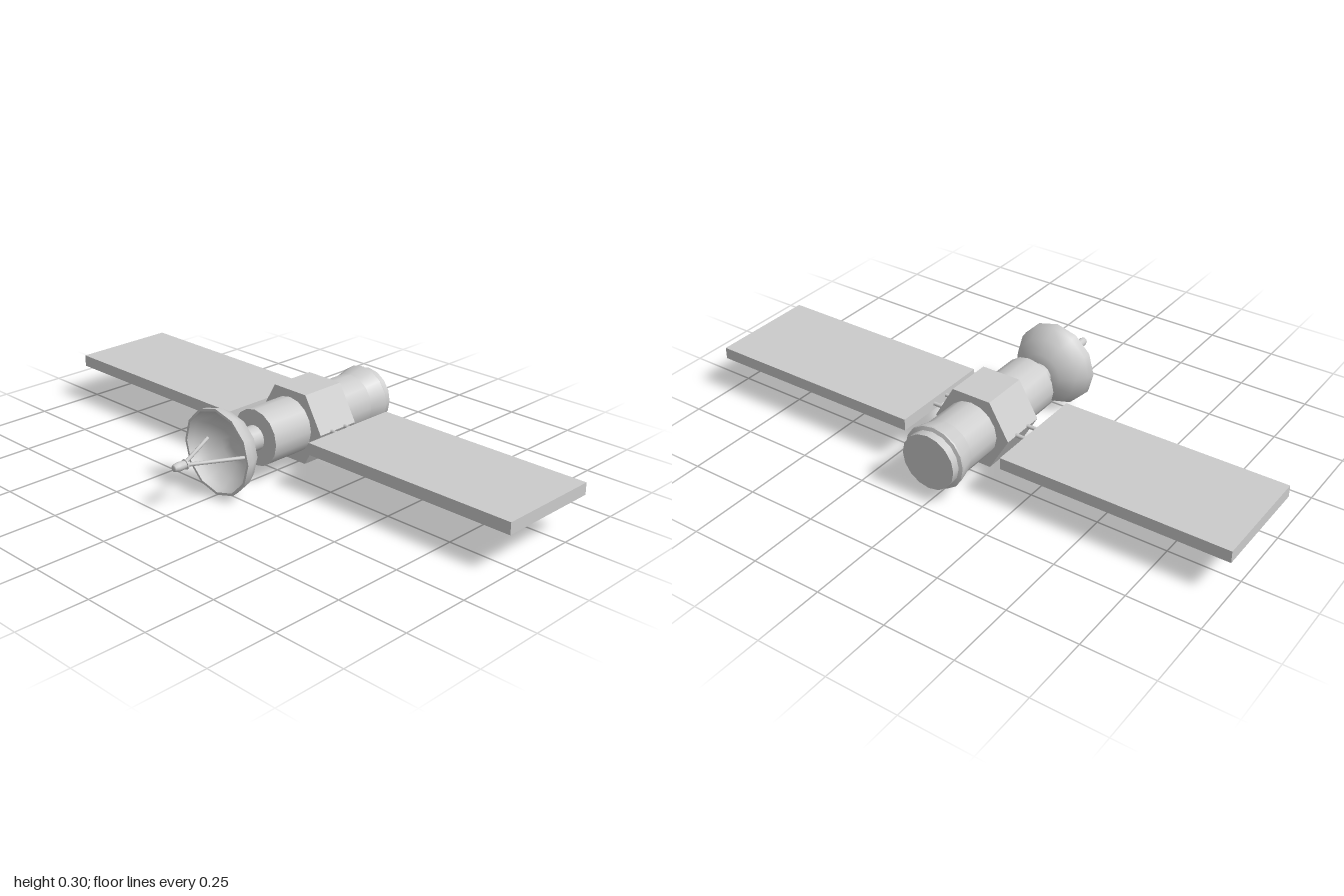
import * as THREE from 'three';

const AXIS_Y = 0.155; // height of the main axis, which runs along z

export function createModel() {
  const root = new THREE.Group();
  const smooth = new THREE.MeshStandardMaterial({ color: 0xcccccc });
  const flat = new THREE.MeshStandardMaterial({ color: 0xcccccc, flatShading: true });
  const assembly = new THREE.Group();
  assembly.name = 'satellite';
  assembly.position.y = AXIS_Y;
  root.add(assembly);

  const add = (name, geometry, material) => {
    const mesh = new THREE.Mesh(geometry, material);
    mesh.name = name;
    assembly.add(mesh);
    return mesh;
  };

  // Turned part along z from [radius, z] pairs; a repeated pair keeps an edge sharp
  const turned = (name, profile, sides) => {
    const points = profile.map(([r, z]) => new THREE.Vector2(r, z));
    return add(name, new THREE.LatheGeometry(points, sides).rotateX(Math.PI / 2), smooth);
  };

  // Thin rod between two points
  const rod = (name, from, to, radius) => {
    const a = new THREE.Vector3(...from);
    const b = new THREE.Vector3(...to);
    const dir = b.clone().sub(a);
    const mesh = add(name, new THREE.CylinderGeometry(radius, radius, dir.length(), 8), smooth);
    mesh.position.copy(a).add(b).multiplyScalar(0.5);
    mesh.quaternion.setFromUnitVectors(new THREE.Vector3(0, 1, 0), dir.normalize());
  };

  // Cylindrical hull with a flared collar near the back
  turned('body', [
    [0, -0.463], [0.1, -0.463], [0.1, -0.463],
    [0.1, -0.435], [0.1, -0.435], [0.113, -0.431], [0.113, -0.431],
    [0.115, -0.427], [0.115, -0.427], [0.1, -0.365], [0.1, -0.365],
    [0.1, 0.105], [0.1, 0.105], [0, 0.105],
  ], 16);

  // Neck carrying the dish
  turned('neck', [[0.044, 0.1], [0.044, 0.182]], 16);

  // Hexagonal equipment bay, flat on top and bottom
  const bay = new THREE.CylinderGeometry(0.145, 0.145, 0.17, 6, 1, false, Math.PI / 6);
  add('equipmentBay', bay.rotateX(Math.PI / 2), flat).position.z = -0.145;

  // Dish shell: outside, rim, then inside
  turned('dish', [
    [0, 0.172], [0.04, 0.174], [0.076, 0.181], [0.122, 0.211], [0.148, 0.253], [0.152, 0.28], [0.152, 0.28],
    [0.143, 0.28], [0.143, 0.28], [0.139, 0.255], [0.114, 0.218], [0.071, 0.19], [0.038, 0.183], [0, 0.181],
  ], 12);

  // Antenna feed in front of the dish
  turned('antennaFeed', [
    [0, 0.41], [0.0175, 0.41], [0.0175, 0.41], [0.0175, 0.416], [0.0175, 0.416], [0.014, 0.416], [0.014, 0.416],
    [0.0155, 0.435], [0.0155, 0.448], [0.012, 0.46], [0.008, 0.463], [0, 0.463],
  ], 12);

  // Mirrored struts, panel arms and solar panels
  for (const side of [1, -1]) {
    rod('feedStrut', [side * 0.107, 0, 0.222], [side * 0.004, 0, 0.415], 0.0065);
    for (const z of [-0.115, -0.18]) {
      rod('panelArm', [side * 0.12, 0, z], [side * 0.2, 0, z], 0.007);
    }
    add('solarPanel', new THREE.BoxGeometry(0.81, 0.042, 0.385), flat)
      .position.set(side * 0.595, 0, -0.147);
  }

  return root;
}
